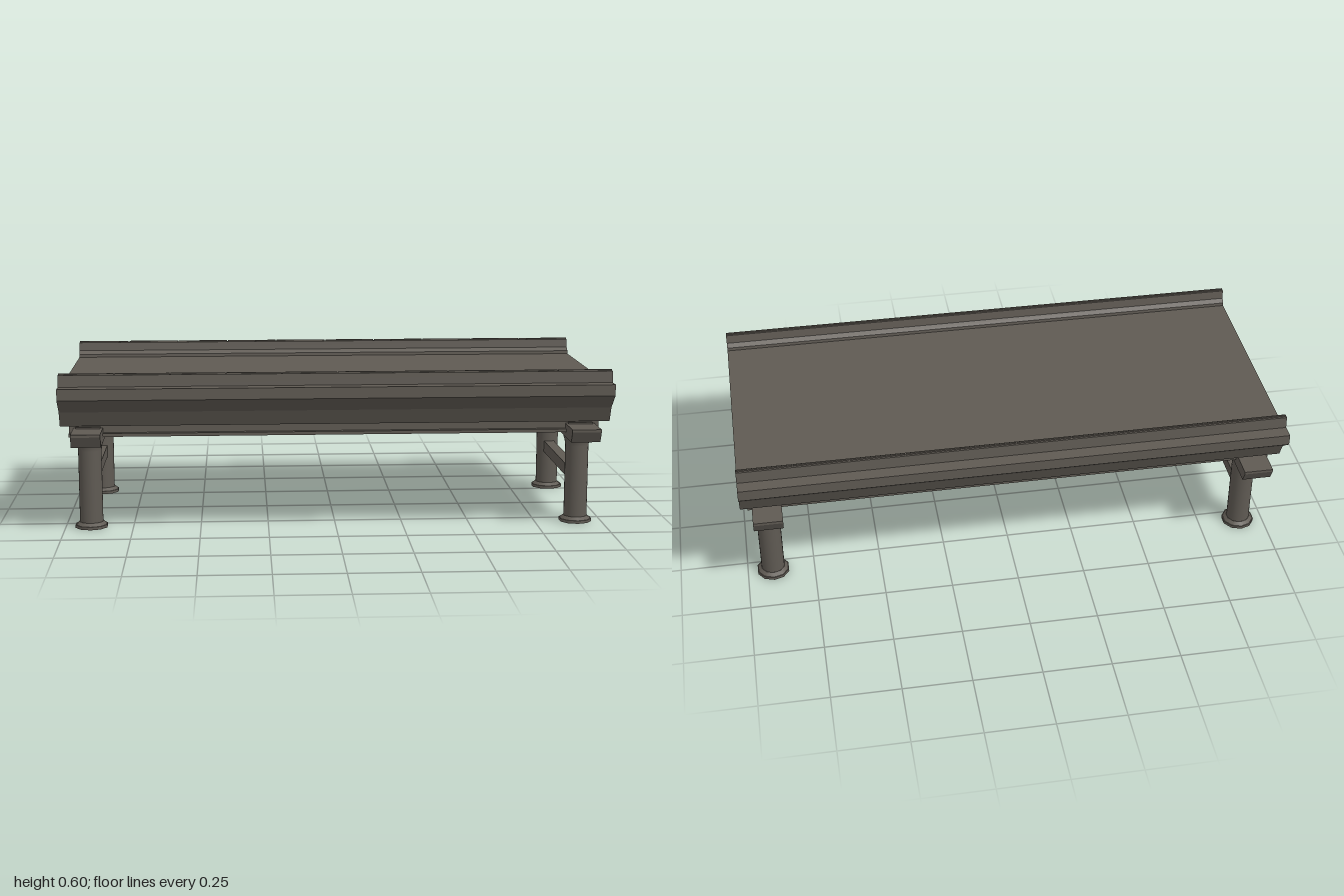
import * as THREE from 'three';

export function createModel() {
  const model = new THREE.Group();
  model.name = 'bridgeSegment';
  const concrete = new THREE.MeshStandardMaterial({ color: 0x5f5a53 });
  concrete.name = 'grey concrete';

  function add(geometry, name, x = 0, y = 0, z = 0) {
    const mesh = new THREE.Mesh(geometry, concrete);
    mesh.name = name;
    mesh.position.set(x, y, z);
    model.add(mesh);
    return mesh;
  }
  const box = (name, w, h, d, x, y, z) => add(new THREE.BoxGeometry(w, h, d), name, x, y, z);

  // Extrudes a [z, y] outline along x, centred on x
  function beam(points, length, name, x = 0, z = 0) {
    const shape = new THREE.Shape(points.map(([pz, py]) => new THREE.Vector2(-pz, py)));
    const g = new THREE.ExtrudeGeometry(shape, { depth: length, bevelEnabled: false });
    g.translate(0, 0, -length / 2).rotateY(Math.PI / 2);
    return add(g, name, x, 0, z);
  }
  // Completes a half outline by mirroring it in z
  const mirrored = half => [...half, ...half.map(([z, y]) => [-z, y]).reverse()];

  // Deck with flared edges and raised parapets
  beam(mirrored([
    [0.415, 0.4], [0.44, 0.455], [0.5, 0.507], [0.5, 0.548], [0.45, 0.548],
    [0.446, 0.59], [0.426, 0.59], [0.421, 0.558], [0.406, 0.545], [0.405, 0.533],
  ]), 2, 'deck');

  // Thin capping rail in ten lengths on each parapet
  for (const side of [-1, 1]) {
    for (let i = 0; i < 10; i++) {
      box('parapetRail', 0.196, 0.006, 0.006, -0.9 + i * 0.2, 0.592, side * 0.436);
    }
  }

  // Longitudinal girders with a bottom flange, and their bearing pads
  const spacing = 1 / 6;
  for (let i = -2; i <= 2; i++) {
    const z = i * spacing;
    beam(mirrored([[0.03, 0.35], [0.03, 0.362], [0.01, 0.362], [0.01, 0.401]]), 1.95, 'girder', 0, z);
    for (const end of [-1, 1]) box('bearingPad', 0.09, 0.008, 0.056, end * 0.905, 0.381, z);
  }

  // Diaphragms between the girders
  for (const x of [-0.5, 0, 0.5]) {
    for (let i = -2; i < 2; i++) {
      box('diaphragm', 0.04, 0.024, spacing - 0.01, x, 0.367, (i + 0.5) * spacing);
    }
  }

  // Supports at each end
  const profile = [[0.043, 0.02], [0.043, 0.29], [0.046, 0.31], [0.053, 0.331]]
    .map(([r, y]) => new THREE.Vector2(r, y));
  for (const end of [-1, 1]) {
    const x = end * 0.905;
    // Cross head with tapered ends
    beam(mirrored([[0.46, 0.33], [0.48, 0.37], [0.48, 0.38]]), 0.107, 'crossHead', x);
    // Tie beam between the columns
    box('tieBeam', 0.04, 0.045, 0.53, x, 0.173, 0);
    for (const side of [-1, 1]) {
      const z = side * 0.3;
      add(new THREE.LatheGeometry(profile, 24), 'column', x, 0, z);
      // Stepped footing
      add(new THREE.CylinderGeometry(0.061, 0.061, 0.011, 10), 'footing', x, 0.0055, z);
      add(new THREE.CylinderGeometry(0.045, 0.059, 0.012, 10), 'footingStep', x, 0.016, z);
    }
  }
  return model;
}
